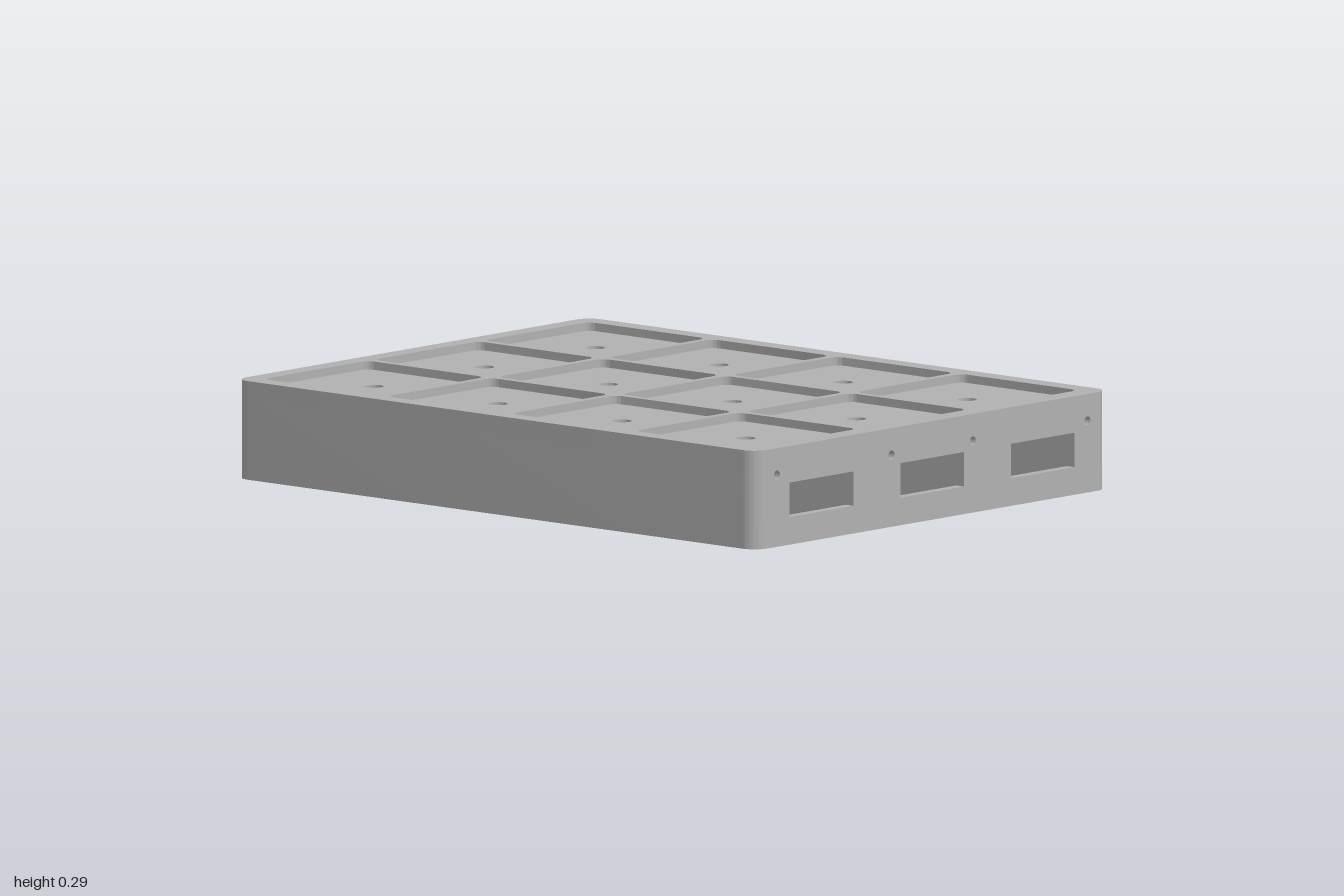
import * as THREE from 'three';
import { toCreasedNormals } from 'three/addons/utils/BufferGeometryUtils.js';

const W = 1.52, L = 2, H = 0.286;      // overall size
const PITCH = 0.4757, POCKET = 0.452;  // cell spacing and top recess size
const CEIL = 0.235, FLOOR = 0.262;     // underside of deck, floor of recesses
const WALL = 0.03, RIB = 0.025, R = 0.05;
const XS = [-1, 0, 1].map(i => i * PITCH - 0.002);
const ZS = [-1.5, -0.5, 0.5, 1.5].map(i => i * PITCH - 0.004);

// Rounded rectangle added to a shape or path
function roundRect(path, cx, cy, w, h, r) {
  const x0 = cx - w / 2, x1 = cx + w / 2, y0 = cy - h / 2, y1 = cy + h / 2;
  path.moveTo(x0 + r, y0).lineTo(x1 - r, y0);
  path.absarc(x1 - r, y0 + r, r, -Math.PI / 2, 0);
  path.absarc(x1 - r, y1 - r, r, 0, Math.PI / 2);
  path.absarc(x0 + r, y1 - r, r, Math.PI / 2, Math.PI);
  path.absarc(x0 + r, y0 + r, r, Math.PI, Math.PI * 1.5);
  return path;
}

function rectHole(cx, cy, w, h) {
  const x = w / 2, y = h / 2;
  return new THREE.Path([[-x, -y], [x, -y], [x, y], [-x, y]]
    .map(([a, b]) => new THREE.Vector2(cx + a, cy + b)));
}

function roundHole(cx, cy, r) {
  return new THREE.Path().absarc(cx, cy, r, 0, Math.PI * 2);
}

function extrude(shape, depth) {
  return new THREE.ExtrudeGeometry(shape, { depth, bevelEnabled: false, curveSegments: 10 });
}

// Plan shape (x, -z) raised from y0 to y1
function slab(shape, y0, y1) {
  return extrude(shape, y1 - y0).rotateX(-Math.PI / 2).translate(0, y0, 0);
}

export function createModel() {
  const group = new THREE.Group();
  const grey = new THREE.MeshStandardMaterial({ color: 0xb2b2b2 });
  grey.name = 'plain grey';

  function add(name, geometry) {
    const mesh = new THREE.Mesh(toCreasedNormals(geometry, 0.6), grey);
    mesh.name = name;
    group.add(mesh);
  }

  // Deck with a hole through the centre of each recess
  const deck = roundRect(new THREE.Shape(), 0, 0, W, L, R);
  const lip = roundRect(new THREE.Shape(), 0, 0, W, L, R);
  for (const x of XS) for (const z of ZS) {
    deck.holes.push(roundHole(x, -z, 0.028));
    lip.holes.push(roundRect(new THREE.Path(), x, -z, POCKET, POCKET, 0.03));
  }
  add('deck', slab(deck, CEIL, FLOOR));
  add('recessGrid', slab(lip, FLOOR, H));

  // Skirt: sides and back as one U, including the rounded front corners
  const hw = W / 2, hl = L / 2, ix = hw - WALL, iz = hl - WALL, fx = 0.7;
  const skirt = new THREE.Shape();
  skirt.moveTo(fx, -hl).lineTo(hw - R, -hl);
  skirt.absarc(hw - R, -hl + R, R, -Math.PI / 2, 0);
  skirt.absarc(hw - R, hl - R, R, 0, Math.PI / 2);
  skirt.absarc(-hw + R, hl - R, R, Math.PI / 2, Math.PI);
  skirt.absarc(-hw + R, -hl + R, R, Math.PI, Math.PI * 1.5);
  skirt.lineTo(-fx, -hl).lineTo(-fx, -iz).lineTo(-ix, -iz).lineTo(-ix, iz);
  skirt.lineTo(ix, iz).lineTo(ix, -iz).lineTo(fx, -iz);
  add('sideAndBackWalls', slab(skirt, 0, CEIL));

  // Front wall with three windows and four small screw holes
  const front = new THREE.Shape([[-fx, 0], [fx, 0], [fx, CEIL], [-fx, CEIL]]
    .map(p => new THREE.Vector2(...p)));
  for (const x of XS) front.holes.push(rectHole(x, 0.13, 0.274, 0.1));
  for (const x of [-0.67, -0.177, 0.173, 0.666]) front.holes.push(roundHole(x, 0.208, 0.013));
  add('frontWall', extrude(front, WALL).translate(0, 0, iz));

  // Solid lengthwise ribs
  const ribX = [(XS[0] + XS[1]) / 2, (XS[1] + XS[2]) / 2];
  for (const x of ribX) {
    add('lengthRib', new THREE.BoxGeometry(RIB, CEIL, 2 * iz).translate(x, CEIL / 2, 0));
  }

  // Crosswise ribs, one windowed panel per cell
  const edges = [[-ix, ribX[0] - RIB / 2], [ribX[0] + RIB / 2, ribX[1] - RIB / 2], [ribX[1] + RIB / 2, ix]];
  for (let row = 0; row < 3; row++) {
    const z = (ZS[row] + ZS[row + 1]) / 2 - RIB / 2;
    edges.forEach(([a, b], col) => {
      const panel = new THREE.Shape([[a, 0], [b, 0], [b, CEIL], [a, CEIL]]
        .map(p => new THREE.Vector2(...p)));
      panel.holes.push(rectHole(XS[col], 0.13, 0.274, 0.1));
      add('crossRib', extrude(panel, RIB).translate(0, 0, z));
    });
  }
  return group;
}
